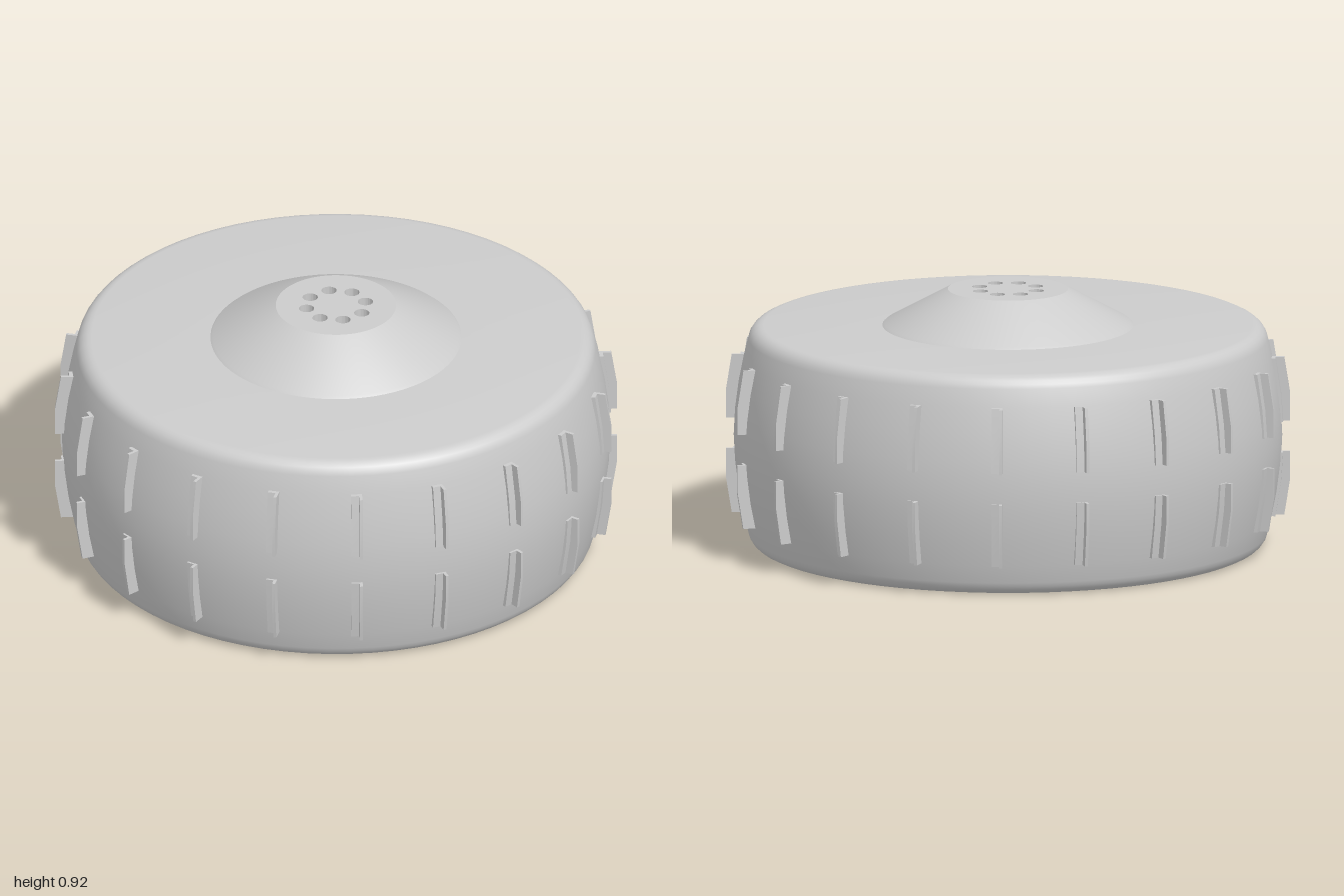
import * as THREE from 'three';
import { toCreasedNormals } from 'three/addons/utils/BufferGeometryUtils.js';

const SEG = 72, HEIGHT = 0.79, LUGS = 20;
const material = new THREE.MeshStandardMaterial({ color: 0xcccccc });

function add(parent, geometry, name) {
  const mesh = new THREE.Mesh(toCreasedNormals(geometry, 0.5), material);
  mesh.name = name;
  parent.add(mesh);
  return mesh;
}

function lathe(points) {
  return new THREE.LatheGeometry(points.map(([r, y]) => new THREE.Vector2(r, y)), SEG);
}

// Flat round plate with a ring of eight bolt holes, lying between two heights
function boltPlate(radius, holeRadius, bottom, top) {
  const shape = new THREE.Shape().absarc(0, 0, radius, 0, Math.PI * 2);
  for (let i = 0; i < 8; i++) {
    const a = i * Math.PI / 4;
    const hole = new THREE.Path();
    hole.absarc(0.107 * Math.cos(a), 0.107 * Math.sin(a), holeRadius, 0, Math.PI * 2, true);
    shape.holes.push(hole);
  }
  return new THREE.ExtrudeGeometry(shape, { depth: top - bottom, bevelEnabled: false, curveSegments: 36 })
    .rotateX(-Math.PI / 2).translate(0, bottom, 0);
}

// Radius/height outline pushed out sideways from z0 to z1
function slab(points, z0, z1) {
  const shape = new THREE.Shape(points.map(([r, y]) => new THREE.Vector2(r, y)));
  return new THREE.ExtrudeGeometry(shape, { depth: z1 - z0, bevelEnabled: false }).translate(0, 0, z0);
}

export function createModel() {
  const wheel = new THREE.Group();
  wheel.name = 'wheel';

  // Tyre: rounded shoulder and bulging tread, mirrored about mid height
  const half = [];
  for (let i = 0; i <= 5; i++) {
    const a = i / 5 * Math.PI * 0.42;
    half.push([0.865 + 0.055 * Math.sin(a), 0.06 - 0.06 * Math.cos(a)]);
  }
  half.push([0.934, 0.11], [0.952, 0.2], [0.965, 0.3]);
  const upper = half.map(([r, y]) => [r, HEIGHT - y]).reverse();
  add(wheel, lathe([
    [0.278, 0], ...half, [0.97, HEIGHT / 2], ...upper,
    [0.27, HEIGHT], [0.27, 0.08], [0.278, 0.08], [0.278, 0],
  ]), 'tyre');

  // Hub: conical boss with counterbored bolt holes opening into the axle bore
  const hub = new THREE.Group();
  hub.name = 'hub';
  wheel.add(hub);
  add(hub, lathe([[0.45, HEIGHT - 0.005], [0.435, 0.798], [0.213, 0.92]]), 'hubCone');
  add(hub, boltPlate(0.213, 0.027, 0.86, 0.92), 'hubFace');
  add(hub, boltPlate(0.275, 0.014, HEIGHT, 0.86), 'boreCeiling');

  // Tread lugs: a thin base plate with a standing fin along one edge
  const finOutline = [[0.92, 0.45], [0.998, 0.45], [0.998, 0.55], [0.977, 0.68], [0.91, 0.68]];
  const plateOutline = [[0.92, 0.45], [0.974, 0.45], [0.967, 0.55], [0.947, 0.68], [0.91, 0.68]];
  const flip = (points) => points.map(([r, y]) => [r, HEIGHT - y]);
  const rows = [['upperLug', (p) => p], ['lowerLug', flip]];
  for (const [name, place] of rows) {
    const fin = slab(place(finOutline), -0.021, -0.01);
    const plate = slab(place(plateOutline), -0.021, 0.018);
    for (let i = 0; i < LUGS; i++) {
      const lug = new THREE.Group();
      lug.name = name;
      lug.rotation.y = i / LUGS * Math.PI * 2;
      add(lug, fin, 'lugFin');
      add(lug, plate, 'lugBase');
      wheel.add(lug);
    }
  }
  return wheel;
}
